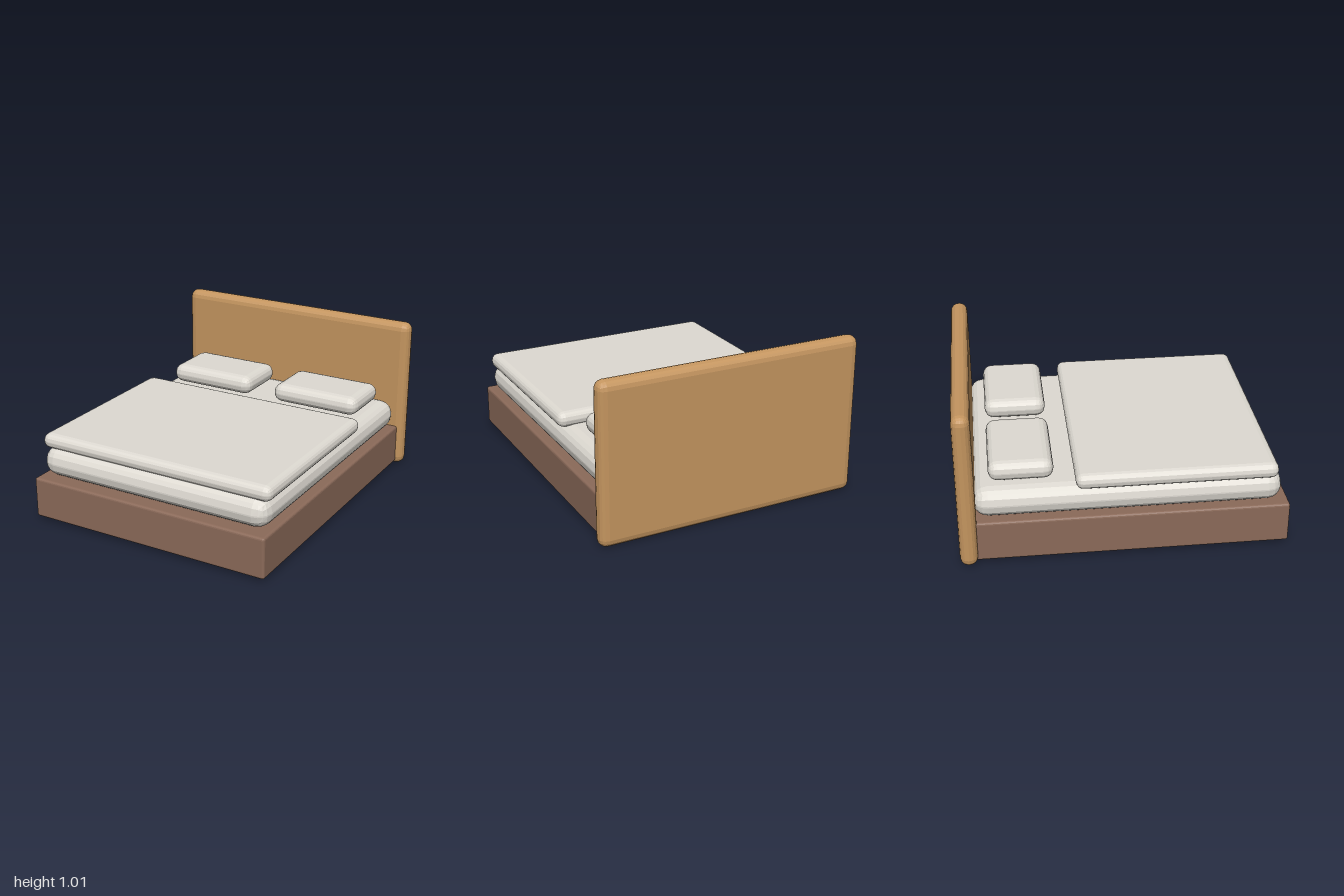
import * as THREE from 'three';
import { RoundedBoxGeometry } from 'three/addons/geometries/RoundedBoxGeometry.js';

function material(name, color) {
  const m = new THREE.MeshStandardMaterial({ color });
  m.name = name;
  return m;
}

// Rounded box given by its bounds on each axis, with faceted edges
function roundedBox(name, mat, [x0, x1], [y0, y1], [z0, z1], radius) {
  let geo = new RoundedBoxGeometry(x1 - x0, y1 - y0, z1 - z0, 2, radius);
  if (geo.index) geo = geo.toNonIndexed();
  geo.computeVertexNormals();
  const mesh = new THREE.Mesh(geo, mat);
  mesh.name = name;
  mesh.position.set((x0 + x1) / 2, (y0 + y1) / 2, (z0 + z1) / 2);
  return mesh;
}

export function createModel() {
  const bed = new THREE.Group();
  bed.name = 'bed';
  const lightWood = material('light wood', 0xc4955f);
  const darkWood = material('dark wood', 0x8b6a59);
  const linen = material('linen', 0xdedad2);

  // Frame
  bed.add(roundedBox('headboard', lightWood, [-0.85, 0.85], [0, 1.01], [-1, -0.89], 0.053));
  bed.add(roundedBox('base', darkWood, [-0.805, 0.805], [0.022, 0.282], [-0.93, 1], 0.015));

  // Bedding
  bed.add(roundedBox('mattress', linen, [-0.785, 0.785], [0.283, 0.472], [-0.905, 0.957], 0.09));
  bed.add(roundedBox('blanket', linen, [-0.795, 0.795], [0.455, 0.552], [-0.295, 0.925], 0.046));

  // Pillows and feet, mirrored left and right
  for (const [side, s] of [['left', 1], ['right', -1]]) {
    const pillow = roundedBox(side + 'Pillow', linen, [-0.303, 0.303], [0.483, 0.606], [-0.808, -0.418], 0.058);
    pillow.position.x = s * 0.392;
    bed.add(pillow);
    for (const [end, z] of [['Front', 0.85], ['Back', -0.81]]) {
      const foot = new THREE.Mesh(new THREE.CylinderGeometry(0.034, 0.034, 0.02, 16), darkWood);
      foot.name = side + end + 'Foot';
      foot.position.set(s * 0.715, 0.023, z);
      bed.add(foot);
    }
  }
  return bed;
}
